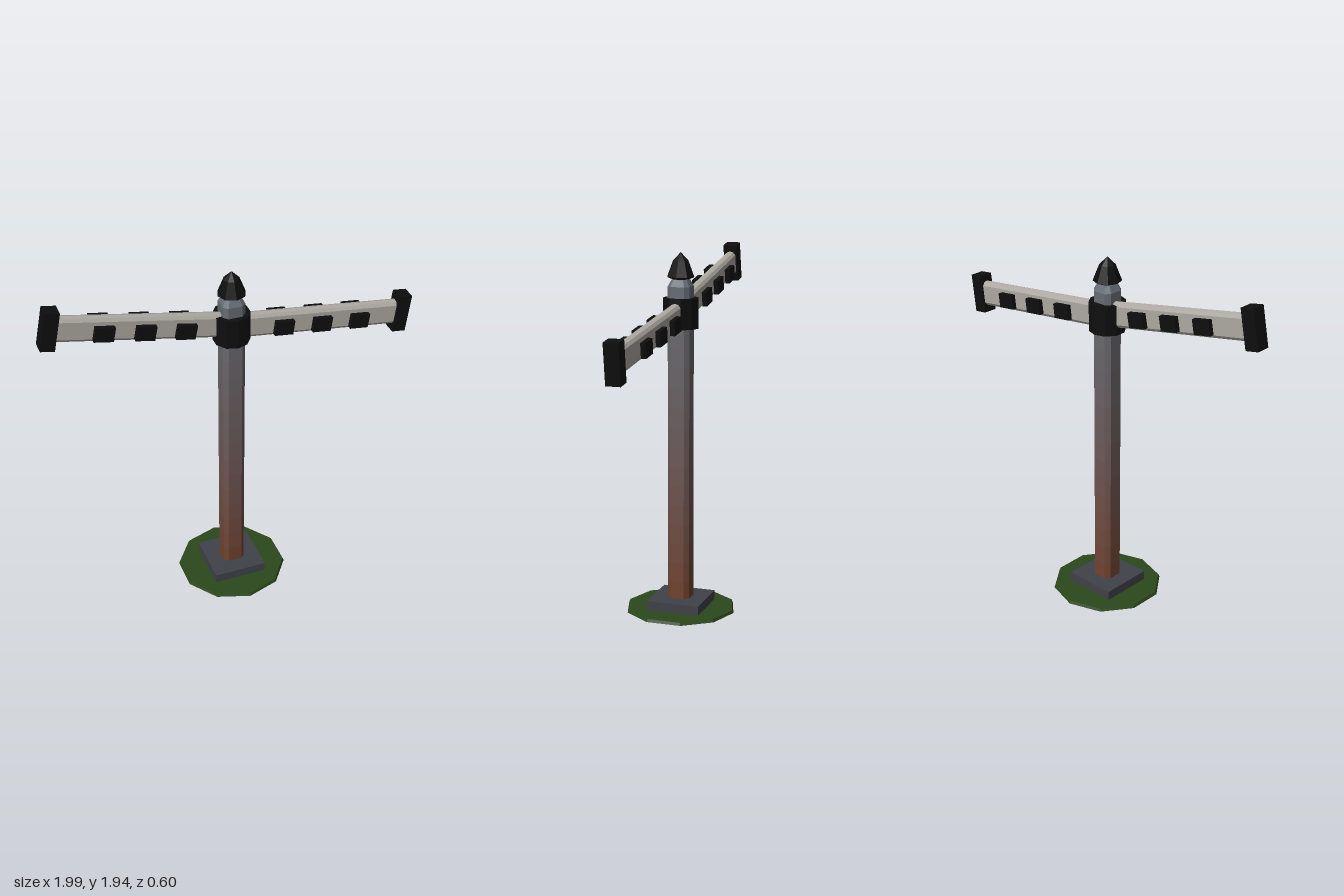
import * as THREE from 'three';

const mat = (color) => new THREE.MeshStandardMaterial({ color, flatShading: true });
const BLACK = mat(0x0e0e0e), ARM = mat(0xaeaaa3), STONE = mat(0x3f4249), GRASS = mat(0x2b471b);

function part(name, geometry, material, x = 0, y = 0, z = 0) {
  const mesh = new THREE.Mesh(geometry, material);
  mesh.name = name;
  mesh.position.set(x, y, z);
  return mesh;
}

// Square prism with chamfered corners: an octagonal cylinder with its vertices pushed out
function chamferedPrism(topHalf, bottomHalf, height, open) {
  const geometry = new THREE.CylinderGeometry(topHalf, bottomHalf, height, 8, 1, open, Math.PI / 8);
  const pos = geometry.attributes.position;
  const push = (v, r) => Math.sign(v) * r * (Math.abs(v) > 0.6 * r ? 1 : 0.62);
  for (let i = 0; i < pos.count; i++) {
    const x = pos.getX(i), z = pos.getZ(i), r = Math.hypot(x, z);
    pos.setX(i, push(x, r));
    pos.setZ(i, push(z, r));
  }
  return geometry;
}

// Post in stacked bands that fade from rust to steel, with a bevelled top
function createPost() {
  const post = new THREE.Group();
  post.name = 'post';
  const rust = new THREE.Color(0x71412a), steel = new THREE.Color(0x666d75);
  const bottom = 0.06, top = 1.765, bands = 16, h = (top - bottom) / bands;
  for (let i = 0; i < bands; i++) {
    const color = rust.clone().lerp(steel, (i + 0.5) / bands);
    post.add(part('postBand', chamferedPrism(0.06, 0.06, h, true), mat(color), 0, bottom + (i + 0.5) * h));
  }
  post.add(part('postTop', chamferedPrism(0.043, 0.06, 0.035, false), mat(steel), 0, top + 0.0175));
  return post;
}

// Arm along +x: chamfered beam, end cap, and three plates standing off each face
function createArm(name) {
  const arm = new THREE.Group();
  arm.name = name;
  const section = new THREE.Shape([
    [0.03, -0.048], [0.03, 0.048], [0.018, 0.064], [0, 0.07], [-0.018, 0.064],
    [-0.03, 0.048], [-0.03, -0.048], [-0.018, -0.064], [0, -0.07], [0.018, -0.064],
  ].map(([x, y]) => new THREE.Vector2(x, y)));
  const beam = new THREE.ExtrudeGeometry(section, { depth: 0.95, bevelEnabled: false }).rotateY(Math.PI / 2);
  arm.add(part('beam', beam, ARM));
  arm.add(part('endCap', new THREE.BoxGeometry(0.075, 0.21, 0.078), BLACK, 0.956));
  for (const x of [0.266, 0.479, 0.692])
    for (const z of [-0.062, 0.062])
      arm.add(part('plate', new THREE.BoxGeometry(0.102, 0.078, 0.026), BLACK, x, 0, z));
  return arm;
}

export function createModel() {
  const model = new THREE.Group();
  model.name = 'barrierPost';

  // Ground patch and plinth
  model.add(part('groundPatch', new THREE.CylinderGeometry(0.295, 0.302, 0.015, 10), GRASS, 0, 0.0105));
  model.add(part('plinth', new THREE.BoxGeometry(0.294, 0.07, 0.294), STONE, 0, 0.035));

  model.add(createPost());
  model.add(part('collar', new THREE.CylinderGeometry(0.097, 0.097, 0.16, 10), BLACK, 0, 1.625));

  // Arms, one drooping and one rising
  const leftArm = createArm('leftArm');
  leftArm.position.y = 1.624;
  leftArm.rotation.z = -0.127;
  const rightArm = createArm('rightArm');
  rightArm.position.y = 1.634;
  rightArm.rotation.set(0, Math.PI, 0.195);
  model.add(leftArm, rightArm);

  // Pointed finial
  const profile = [[0, 1.798], [0.045, 1.802], [0.075, 1.815], [0.042, 1.9], [0, 1.942]]
    .map(([r, y]) => new THREE.Vector2(r, y));
  model.add(part('finial', new THREE.LatheGeometry(profile, 8), BLACK));

  return model;
}
